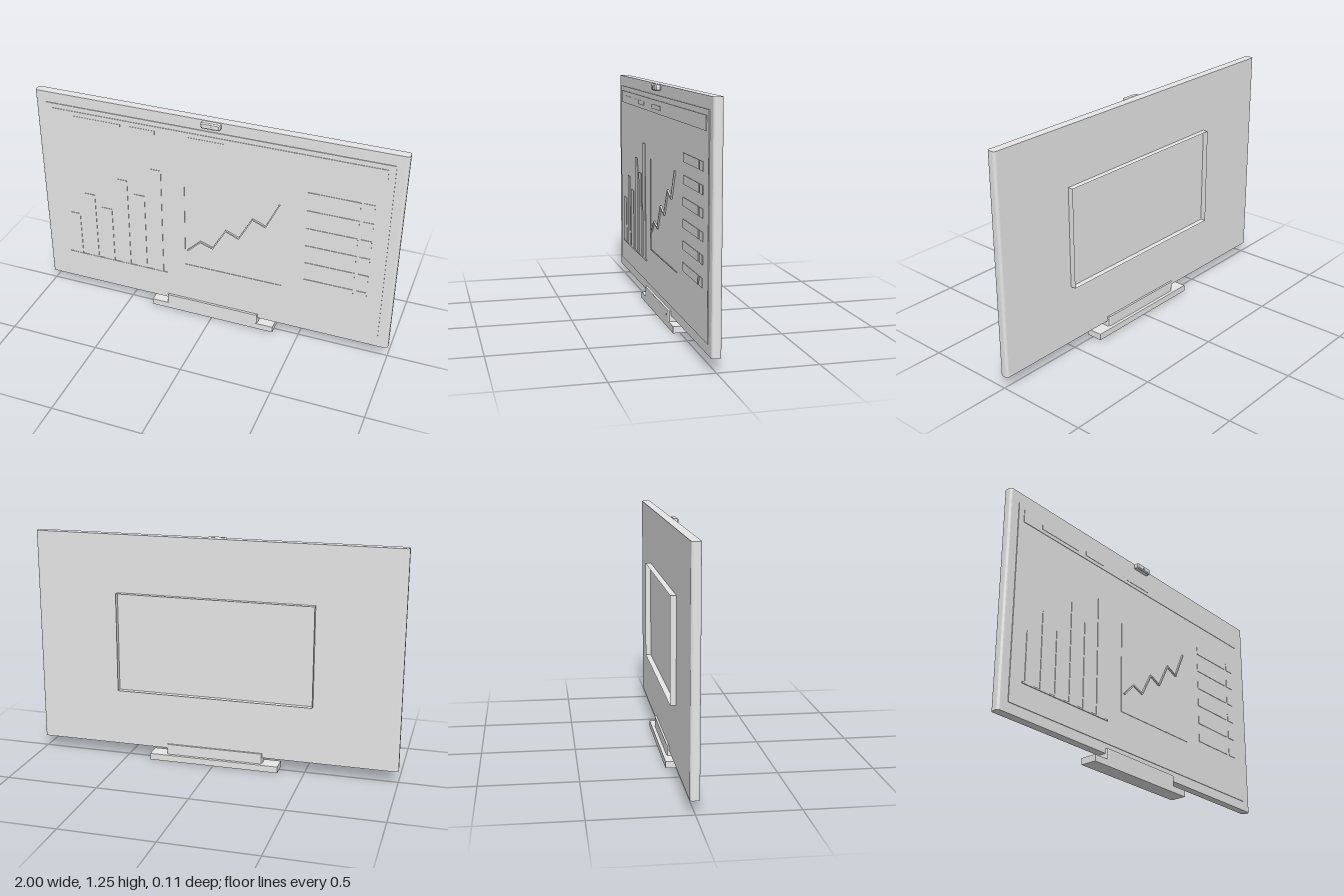
import * as THREE from 'three';

const grey = new THREE.MeshStandardMaterial({ color: 0xe6e6e6, side: THREE.DoubleSide });
grey.name = 'light grey';

export function createModel() {
  const model = new THREE.Group();
  model.name = 'displayBoard';

  const add = (name, geometry, parent = model) => {
    const mesh = new THREE.Mesh(geometry, grey);
    mesh.name = name;
    parent.add(mesh);
    return mesh;
  };

  // Box given by its limits on each axis
  const box = (name, x0, x1, y0, y1, z0, z1, parent) => {
    const mesh = add(name, new THREE.BoxGeometry(x1 - x0, y1 - y0, z1 - z0), parent);
    mesh.position.set((x0 + x1) / 2, (y0 + y1) / 2, (z0 + z1) / 2);
    return mesh;
  };

  // Rectangle with rounded corners, centred on the origin
  const roundedRect = (w, d, r) => {
    const s = new THREE.Shape();
    const x = w / 2, y = d / 2;
    s.absarc(x - r, y - r, r, 0, Math.PI / 2);
    s.absarc(-x + r, y - r, r, Math.PI / 2, Math.PI);
    s.absarc(-x + r, -y + r, r, Math.PI, Math.PI * 1.5);
    s.absarc(x - r, -y + r, r, Math.PI * 1.5, Math.PI * 2);
    return s;
  };

  // Upright slab whose vertical edges are rounded in a few flat steps
  const slab = (name, w, d, r, steps, y0, y1, z = 0) => {
    const g = new THREE.ExtrudeGeometry(roundedRect(w, d, r), { depth: y1 - y0, bevelEnabled: false, curveSegments: steps });
    g.rotateX(-Math.PI / 2);
    g.translate(0, y0, z);
    return add(name, g);
  };

  // Body and stand
  slab('panelBody', 2, 0.048, 0.014, 2, 0.067, 1.247, -0.001);
  box('standBase', -0.36, 0.36, 0, 0.035, -0.054, 0.036);
  slab('standClamp', 0.54, 0.072, 0.014, 1, 0.035, 0.092);
  box('standIndicator', 0.217, 0.223, 0.06, 0.066, 0.035, 0.038);

  // Rear surround: four thin walls, open at the back
  const rear = new THREE.Group();
  rear.name = 'rearSurround';
  model.add(rear);
  const depth = 0.032, zMid = -0.039, yMid = 0.6575;
  for (const side of [-1, 1]) {
    const level = add('surroundLevelWall', new THREE.PlaneGeometry(1.08, depth), rear);
    level.rotation.x = -side * Math.PI / 2;
    level.position.set(0, yMid + side * 0.2725, zMid);
    const upright = add('surroundUprightWall', new THREE.PlaneGeometry(depth, 0.545), rear);
    upright.rotation.y = side * Math.PI / 2;
    upright.position.set(side * 0.54, yMid, zMid);
  }

  // Camera on the top edge, with chamfered corners
  const camera = new THREE.Group();
  camera.name = 'camera';
  model.add(camera);
  const cameraBody = new THREE.ExtrudeGeometry(roundedRect(0.094, 0.022, 0.005), {
    depth: 0.02, bevelThickness: 0.006, bevelSize: 0.006, bevelSegments: 1, curveSegments: 1,
  });
  cameraBody.translate(0, 1.23, 0.028);
  add('cameraBody', cameraBody, camera);
  const lens = add('cameraLens', new THREE.CylinderGeometry(0.006, 0.006, 0.002, 16), camera);
  lens.rotation.x = Math.PI / 2;
  lens.position.set(0, 1.23, 0.055);

  // Screen with its raised layout
  const Z = 0.027, Z1 = 0.03;
  box('screen', -0.942, 0.942, 0.12, 1.187, 0.022, Z);
  const layout = new THREE.Group();
  layout.name = 'screenLayout';
  model.add(layout);
  const plate = (name, x0, x1, y0, y1, z = Z1) => box(name, x0, x1, y0, y1, Z - 0.002, z, layout);

  plate('header', -0.907, 0.907, 1.09, 1.16);
  [[-0.78, -0.51], [-0.455, -0.315], [-0.127, 0.067]].forEach(([a, b]) =>
    plate('headerStrip', a, b, 1.11, 1.134, 0.032));

  // Bar chart
  plate('barBaseline', -0.866, -0.266, 0.238, 0.246, 0.032);
  [0.515, 0.66, 0.59, 0.795, 0.72, 0.9].forEach((top, i) => {
    const right = -0.788 + i * 0.1;
    plate('bar', right - 0.062, right, 0.243, top);
  });

  // Line chart
  plate('verticalAxis', -0.161, -0.155, 0.328, 0.83);
  plate('horizontalAxis', -0.161, 0.4, 0.325, 0.331);
  const points = [[-0.138, 0.43], [-0.065, 0.502], [0.006, 0.478], [0.08, 0.61],
    [0.153, 0.578], [0.228, 0.718], [0.3, 0.687], [0.37, 0.838]];
  for (let i = 1; i < points.length; i++) {
    const [ax, ay] = points[i - 1], [bx, by] = points[i];
    const length = Math.hypot(bx - ax, by - ay) + 0.003;
    const segment = add('trendSegment', new THREE.BoxGeometry(length, 0.007, 0.01), layout);
    segment.position.set((ax + bx) / 2, (ay + by) / 2, 0.031);
    segment.rotation.z = Math.atan2(by - ay, bx - ax);
  }

  // Table rows with a small cell at the end
  for (let i = 0; i < 6; i++) {
    const top = 0.947 - i * 0.108;
    plate('tableRow', 0.516, 0.788, top - 0.044, top);
    plate('tableCell', 0.805, 0.86, top - 0.044, top);
  }

  return model;
}
